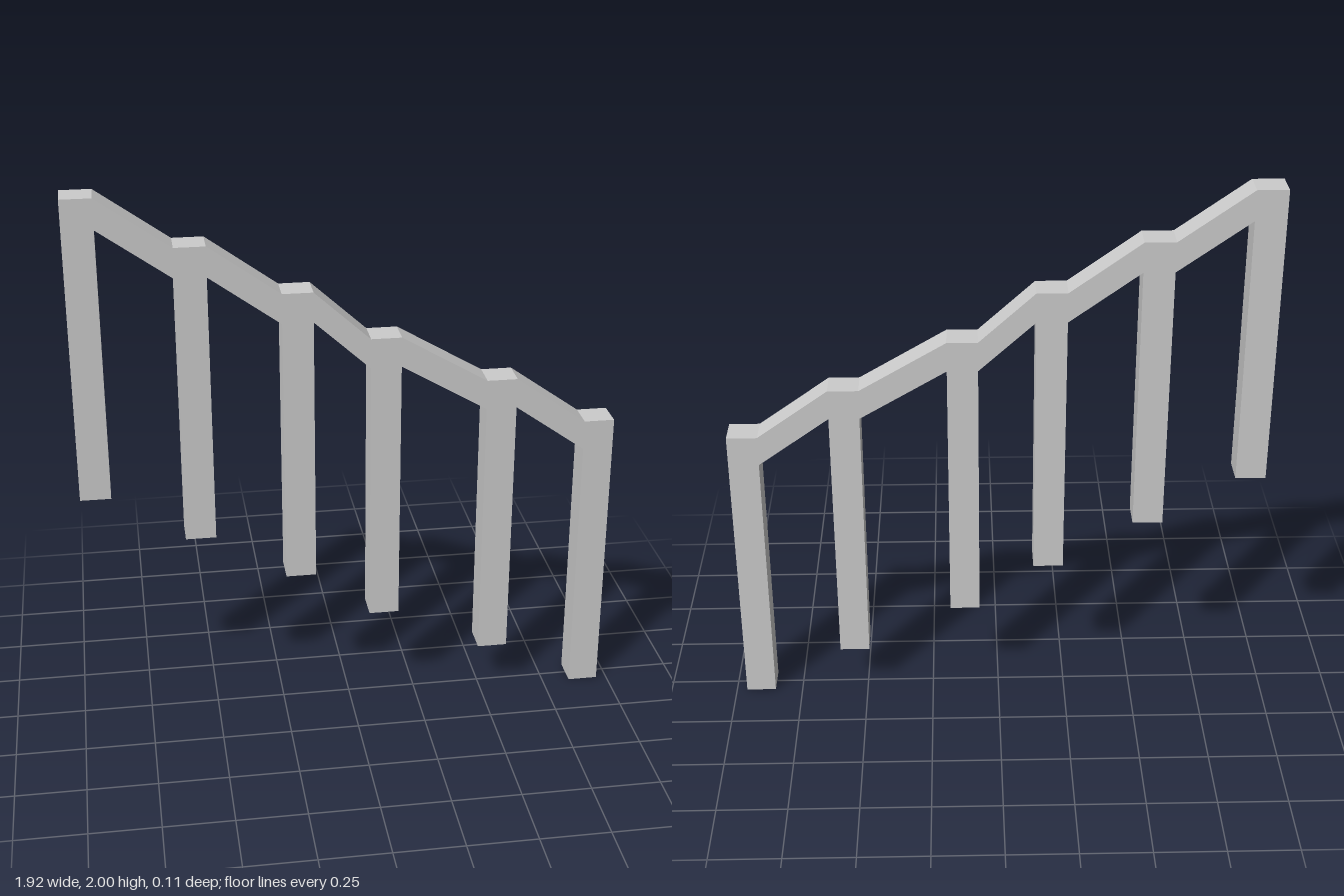
import * as THREE from 'three';

const W = 0.109;      // square post width and rail depth
const STEP = 0.1814;  // drop from one post to the next
const HEIGHT = 2 - 5 * STEP;
const POST_X = [-0.907, -0.543, -0.183, 0.125, 0.543, 0.907];

export function createModel() {
  const group = new THREE.Group();
  const material = new THREE.MeshStandardMaterial({ color: 0xcccccc, flatShading: true });
  const topOf = (i) => 2 - i * STEP;

  const add = (geometry, name) => {
    const mesh = new THREE.Mesh(geometry, material);
    mesh.name = name;
    group.add(mesh);
    return mesh;
  };

  POST_X.forEach((x, i) => {
    // Post, stepping down along the stair line
    add(new THREE.BoxGeometry(W, HEIGHT, W), `post${i + 1}`)
      .position.set(x, topOf(i) - HEIGHT / 2, 0);

    // Sloping rail to the next post, cut vertically at both ends
    if (i === POST_X.length - 1) return;
    const x0 = x + W / 2, x1 = POST_X[i + 1] - W / 2;
    const y0 = topOf(i), y1 = topOf(i + 1);
    const side = new THREE.Shape([
      new THREE.Vector2(x0, y0 - W),
      new THREE.Vector2(x1, y1 - W),
      new THREE.Vector2(x1, y1),
      new THREE.Vector2(x0, y0),
    ]);
    const rail = new THREE.ExtrudeGeometry(side, { depth: W, bevelEnabled: false });
    add(rail.translate(0, 0, -W / 2), `handrail${i + 1}`);
  });

  return group;
}
